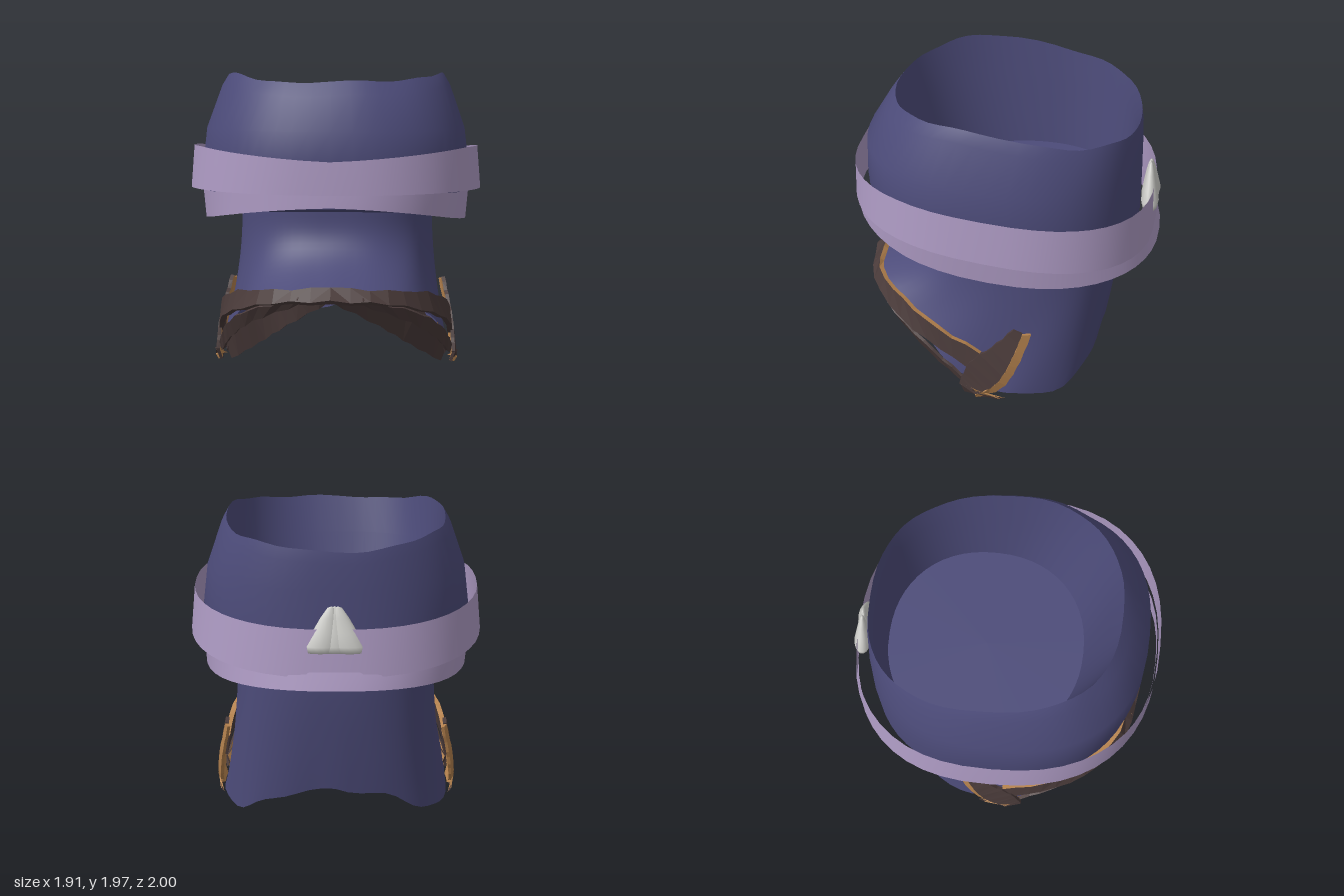
import * as THREE from 'three';

const mat = (name, color) => {
  const m = new THREE.MeshStandardMaterial({ color, side: THREE.DoubleSide });
  m.name = name;
  return m;
};
const V = (p, s = 1) => new THREE.Vector3(p[0] * s, p[1], p[2]);
const lerp = THREE.MathUtils.lerp;

// Skin a list of rings; each ring maps an angle (0 = front) to a point.
// A range narrower than a full turn gives an open patch.
function loft(rings, n = 56, from = -Math.PI, to = Math.PI) {
  const closed = to - from > 6.28, m = closed ? n : n + 1;
  const pos = [], idx = [];
  for (const ring of rings)
    for (let j = 0; j < m; j++) pos.push(...ring(lerp(from, to, j / n)));
  for (let i = 0; i < rings.length - 1; i++)
    for (let j = 0; j < n; j++) {
      const a = i * m + j, b = i * m + (j + 1) % m;
      idx.push(a, a + m, b, b, a + m, b + m);
    }
  const g = new THREE.BufferGeometry();
  g.setAttribute('position', new THREE.Float32BufferAttribute(pos, 3));
  g.setIndex(idx);
  g.computeVertexNormals();
  return g;
}

// Rounded loop with half width hx, from zb to zf, with height given by y(z, a)
function oval(hx, zf, zb, y, e = 0.84) {
  const pw = (v) => Math.sign(v) * Math.pow(Math.abs(v), e);
  return (a) => {
    const z = (zf + zb) / 2 + ((zf - zb) / 2) * pw(Math.cos(a));
    return [hx * pw(Math.sin(a)), y(z, a), z];
  };
}

// Ribbon between two edge lines; tanFaces lists the lined faces
// (0 outside, 1 bottom edge, 2 inside, 3 top edge)
function strap(name, top, bottom, s, thick, mats, tanFaces = [2], seg = 12) {
  const ca = new THREE.CatmullRomCurve3(top.map((p) => V(p, s)));
  const cb = new THREE.CatmullRomCurve3(bottom.map((p) => V(p, s)));
  const centre = new THREE.Vector3(0, 0.6, -0.1);
  const rows = [];
  for (let i = 0; i <= seg; i++) {
    const t = i / seg, a = ca.getPoint(t), b = cb.getPoint(t);
    a.y += 0.008 * Math.sin(i * 2.4);
    b.y += 0.008 * Math.sin(i * 3.1 + 1);
    const n = ca.getTangent(t).cross(b.clone().sub(a)).normalize();
    if (n.dot(a.clone().sub(centre)) < 0) n.negate();
    n.multiplyScalar(-thick);
    rows.push([a, b, b.clone().add(n), a.clone().add(n)]);
  }
  const pos = [], g = new THREE.BufferGeometry();
  const quad = (a, b, c, d) => [a, b, c, a, c, d].forEach((p) => pos.push(p.x, p.y, p.z));
  for (let k = 0; k < 4; k++) {
    const start = pos.length / 3, m = (k + 1) % 4;
    for (let i = 0; i < seg; i++) {
      const p = rows[i], q = rows[i + 1];
      if (s > 0) quad(p[k], p[m], q[m], q[k]);
      else quad(p[k], q[k], q[m], p[m]);
    }
    g.addGroup(start, pos.length / 3 - start, tanFaces.includes(k) ? 1 : 0);
  }
  for (const r of [rows[0], rows[seg]]) quad(...r);
  g.addGroup(pos.length / 3 - 12, 12, 0);
  g.setAttribute('position', new THREE.Float32BufferAttribute(pos, 3));
  g.computeVertexNormals();
  const mesh = new THREE.Mesh(g, mats);
  mesh.name = name;
  return mesh;
}

export function createModel() {
  const cloth = mat('indigo cloth', 0x4c4b79);
  const lilac = mat('lilac band', 0xae9bc4);
  const brown = mat('dark brown leather', 0x4a3b3a);
  const tan = mat('tan leather', 0xb5824e);
  const silver = mat('pale silver', 0xcfcfcb);
  const group = new THREE.Group();
  const add = (name, geo, m) => {
    const mesh = new THREE.Mesh(geo, m);
    mesh.name = name;
    group.add(mesh);
    return mesh;
  };

  // Upper cloth: outer wall, inner wall and floor
  const rimY = (z, a) => 1.97 - 0.075 * Math.pow(Math.max(0, 0.55 - z), 2) - 0.03 * Math.max(0, z - 0.5) / 0.2
    - 0.03 * Math.max(0, -z) + 0.01 * Math.sin(5 * a + 1) + 0.005 * Math.sin(11 * a);
  const underY = (z) => 1.03 + 0.13 * z + 0.05 * z * z;
  const rim = oval(0.71, 0.72, -0.84, rimY);
  add('upperOuterWall', loft([
    rim,
    oval(0.75, 0.78, -0.85, (z, a) => rimY(z, a) - 0.07),
    oval(0.845, 0.91, -0.855, (z) => 1.61 + 0.05 * z),
    oval(0.875, 0.915, -0.86, (z) => 1.36 + 0.08 * z),
    oval(0.85, 0.9, -0.86, underY),
  ]), cloth);
  const floorRing = oval(0.655, 0.52, -0.77, () => 1.19, 0.92);
  add('upperInnerWall', loft([
    rim,
    oval(0.69, 0.65, -0.81, (z) => 1.68 + 0.03 * z),
    floorRing,
  ]), cloth);
  add('innerFloor', loft([floorRing, () => [0, 1.19, -0.12]]), cloth);
  const neckTop = oval(0.645, 0.48, -0.76, underY, 0.82);
  add('underside', loft([oval(0.85, 0.9, -0.86, underY), neckTop]), cloth);

  // Lower cloth sweeping forward into a peak, with an arched hem
  const hem = new THREE.CatmullRomCurve3([
    [0, 0.65, 0.92], [0.28, 0.63, 0.86], [0.51, 0.55, 0.7], [0.67, 0.38, 0.44], [0.75, 0.14, 0.17],
    [0.75, 0.05, -0.12], [0.61, 0.04, -0.46], [0.36, 0.17, -0.61], [0, 0.24, -0.67],
  ].map((p) => V(p)));
  const skin = (v, inset = 1) => (a) => {
    const s = Math.abs(a) / Math.PI, h = hem.getPoint(s), t = neckTop(a);
    const k = Math.pow(v, 1.3 + 1.6 * Math.pow(0.5 + 0.5 * Math.cos(a), 1.5));
    const fold = inset * (1 + 0.014 * v * Math.sin(9 * a + 2 * v) * Math.sin(a) ** 2);
    const ragged = 0.015 * v ** 4 * Math.sin(13 * a) * s;
    return [lerp(t[0], a < 0 ? -h.x : h.x, k) * fold, lerp(t[1], h.y, v) + ragged, lerp(t[2], h.z, k) * fold];
  };
  const rows = (from, to, n, inset) =>
    Array.from({ length: n + 1 }, (_, i) => skin(lerp(from, to, i / n), inset));
  add('lowerCloth', loft(rows(0, 1, 14), 72), cloth);

  // Two tilted bands that meet at front and back, with a slit along the sides
  const peak = (z, a) => (z > 0 ? Math.max(0, 1 - 1.15 * Math.abs(Math.sin(a))) : 0);
  const meet = (z) => 0.05 * THREE.MathUtils.smoothstep(Math.abs(z + 0.06), 0.7, 0.8);
  add('upperBand', loft([
    oval(0.93, 0.995, -0.955, (z, a) => 1.485 + 0.105 * z - 0.045 * z * z - 0.06 * peak(z, a)),
    oval(0.955, 1, -0.975, (z) => 1.205 + 0.12 * z - 0.04 * z * z),
  ], 48), lilac);
  add('lowerBand', loft([
    oval(0.875, 0.99, -0.97, (z) => 1.195 + 0.115 * z - 0.04 * z * z + meet(z)),
    oval(0.86, 0.995, -1, (z, a) => 1.005 + 0.1 * z + 0.07 * z * z + 0.035 * peak(z, a)),
  ], 48), lilac);

  // Ridged fang ornament at the back, with two small studs below
  const profile = [[0, 0], [0.09, 0.01], [0.105, 0.05], [0.08, 0.13], [0.05, 0.22], [0.022, 0.28], [0, 0.29]]
    .map((p) => new THREE.Vector2(...p));
  for (const s of [1, 0, -1]) {
    const g = new THREE.LatheGeometry(profile, 14);
    const p = g.attributes.position;
    for (let i = 0; i < p.count; i++) {
      const u = p.getY(i) / 0.29;
      p.setX(i, p.getX(i) + s * lerp(0.09, 0.02, u));
      p.setZ(i, p.getZ(i) * 0.55 + lerp(-0.005, 0.005, u));
    }
    g.computeVertexNormals();
    add('fang', g, silver).position.set(0, 1.19, s ? -0.925 : -0.92);
    if (s) add('stud', new THREE.SphereGeometry(0.022, 10, 8), silver).position.set(s * 0.07, 0.99, -0.86);
  }

  // Leather straps and lining around the peak, mirrored
  const leather = [brown, tan];
  for (const s of [1, -1]) {
    // Trim standing slightly off the cloth, with a tan top edge
    group.add(strap('peakTrim',
      [[0, 0.7, 0.87], [0.35, 0.675, 0.84], [0.6, 0.62, 0.62], [0.735, 0.51, 0.36], [0.77, 0.37, 0.07]],
      [[0, 0.63, 0.95], [0.36, 0.6, 0.88], [0.64, 0.49, 0.63], [0.755, 0.36, 0.34], [0.79, 0.22, 0.09]],
      s, 0.035, leather, [3]));
    // Straight strap crossing the opening below the peak
    group.add(strap('crossStrap',
      [[0.06, 0.65, 0.9], [0.36, 0.52, 0.52], [0.58, 0.38, 0.36], [0.77, 0.2, 0.13]],
      [[0, 0.62, 0.92], [0.3, 0.37, 0.53], [0.5, 0.2, 0.33], [0.71, 0.03, 0.12]],
      s, 0.02, leather));
    // Steep strap inside the opening
    group.add(strap('innerStrap',
      [[0.46, 0.68, 0.3], [0.6, 0.38, 0.25], [0.74, 0.1, 0.13]],
      [[0.36, 0.62, 0.3], [0.53, 0.3, 0.24], [0.7, 0.04, 0.09]],
      s, 0.02, leather, []));
    // Tan lining behind the side of the opening
    const range = [0.4, 0.5].map((t) => s * t * Math.PI).sort((a, b) => a - b);
    add('lining', loft(rows(0.4, 0.97, 8, 0.97), 6, ...range), tan);
    // Outer strap following the hem
    group.add(strap('hemStrap',
      [[0.2, 0.63, 0.92], [0.52, 0.52, 0.75], [0.7, 0.36, 0.47], [0.78, 0.17, 0.2]],
      [[0.18, 0.6, 0.9], [0.5, 0.44, 0.71], [0.68, 0.26, 0.43], [0.77, 0.1, 0.17]],
      s, 0.02, leather));
    group.add(strap('sideStrap',
      [[0.74, 0.56, -0.14], [0.77, 0.42, 0.0], [0.79, 0.3, 0.14], [0.8, 0.13, 0.21]],
      [[0.74, 0.53, -0.2], [0.79, 0.31, -0.12], [0.81, 0.15, -0.03], [0.82, 0.06, 0.1]],
      s, 0.025, leather));
    group.add(strap('sideStrapEdge',
      [[0.74, 0.53, -0.2], [0.79, 0.31, -0.12], [0.81, 0.15, -0.03], [0.82, 0.06, 0.1]],
      [[0.72, 0.52, -0.255], [0.77, 0.28, -0.17], [0.79, 0.11, -0.07], [0.8, 0.02, 0.1]],
      s, 0.02, [tan, tan]));
    group.add(strap('strapEnd',
      [[0.82, 0.07, 0.09], [0.81, 0.11, 0.15], [0.8, 0.12, 0.2]],
      [[0.78, 0.02, -0.1], [0.79, 0.02, 0.05], [0.78, 0.05, 0.18]],
      s, 0.02, leather, [2], 5));
  }
  return group;
}
